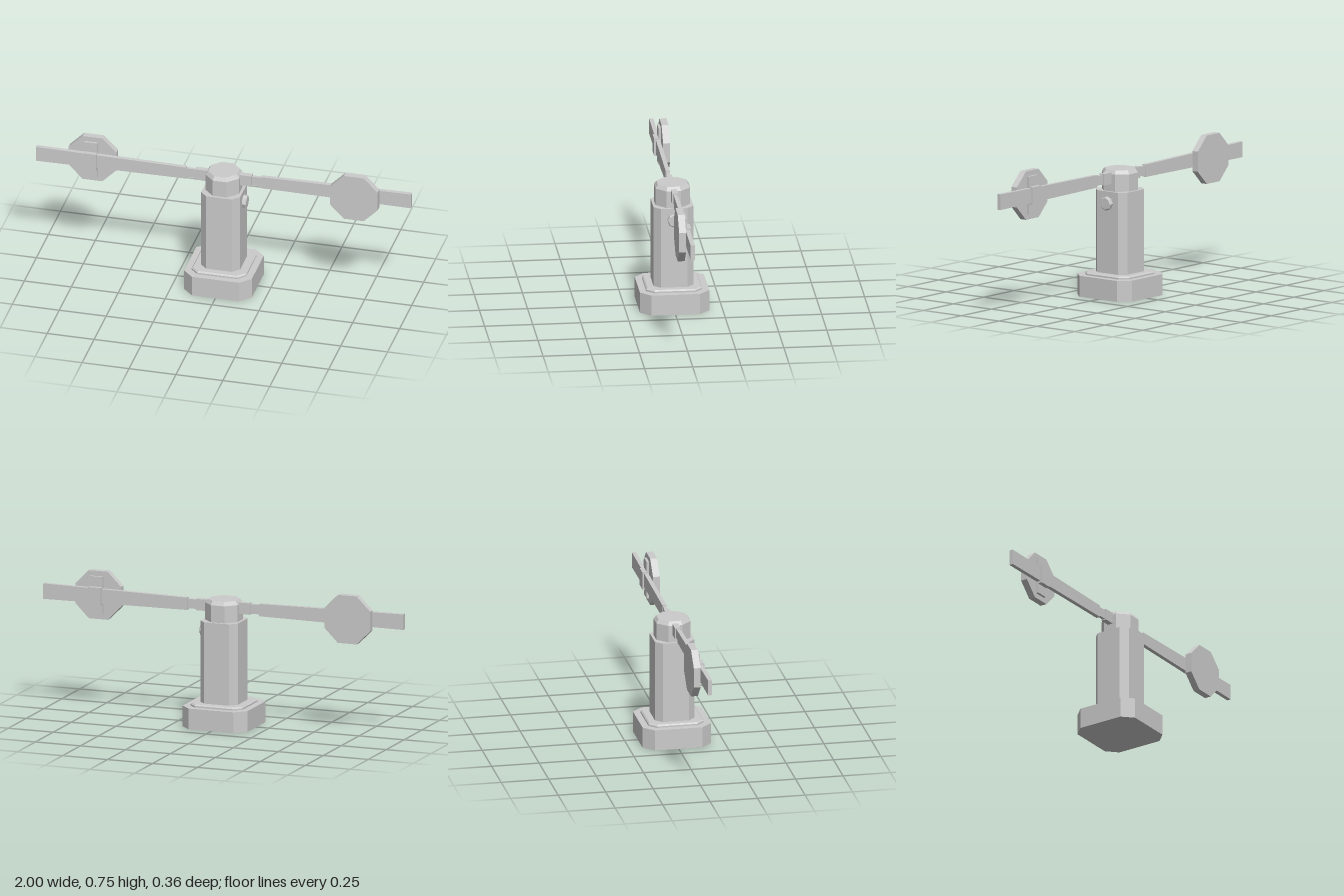
import * as THREE from 'three';

const mat = new THREE.MeshStandardMaterial({ color: 0xcccccc, flatShading: true });

function add(parent, name, geo, x = 0, y = 0, z = 0) {
  const m = new THREE.Mesh(geo, mat);
  m.name = name;
  m.position.set(x, y, z);
  parent.add(m);
  return m;
}

// Square block with cut corners, standing on y = 0, optional top bevel
function cutBlock(half, cut, height, bevel = 0) {
  const h = half - bevel, c = h - cut;
  const shape = new THREE.Shape([
    [h, -c], [h, c], [c, h], [-c, h], [-h, c], [-h, -c], [-c, -h], [c, -h],
  ].map(([x, y]) => new THREE.Vector2(x, y)));
  const geo = new THREE.ExtrudeGeometry(shape, {
    depth: height - bevel, bevelEnabled: bevel > 0,
    bevelSize: bevel, bevelThickness: bevel, bevelSegments: 1,
  });
  return geo.rotateX(-Math.PI / 2);
}

// Octagonal prism with flat sides on the axes
function octagon(rTop, rBottom, height) {
  const k = 1 / Math.cos(Math.PI / 8);
  return new THREE.CylinderGeometry(rTop * k, rBottom * k, height, 8).rotateY(Math.PI / 8);
}

// Flat bar along x whose height and centre change linearly from one end to the other
function taperedBar(x0, x1, bottom0, top0, bottom1, top1, depth) {
  const shape = new THREE.Shape();
  shape.moveTo(x0, bottom0).lineTo(x1, bottom1).lineTo(x1, top1).lineTo(x0, top0);
  return new THREE.ExtrudeGeometry(shape, { depth, bevelEnabled: false }).translate(0, 0, -depth / 2);
}

function makeArm() {
  const arm = new THREE.Group();
  arm.name = 'signalArm';
  add(arm, 'armSocket', new THREE.BoxGeometry(0.09, 0.06, 0.03), 0.105, 0.624, 0);
  add(arm, 'armNeck', new THREE.BoxGeometry(0.08, 0.05, 0.016), 0.18, 0.624, 0);
  add(arm, 'armBlade', taperedBar(0.2, 1, 0.59, 0.655, 0.583, 0.665, 0.022));
  // Disc in front of the blade, held by a strap and a clip
  add(arm, 'signalDisc', octagon(0.127, 0.127, 0.036).rotateX(Math.PI / 2), 0.705, 0.622, 0.034);
  add(arm, 'discStrap', new THREE.BoxGeometry(0.07, 0.2, 0.014), 0.712, 0.622, 0.01);
  add(arm, 'discClip', new THREE.BoxGeometry(0.07, 0.094, 0.036), 0.712, 0.621, -0.002);
  return arm;
}

export function createModel() {
  const model = new THREE.Group();
  model.name = 'semaphore';

  // Stepped base and post
  add(model, 'base', cutBlock(0.18, 0.055, 0.11));
  add(model, 'baseStep', cutBlock(0.145, 0.035, 0.015, 0.007), 0, 0.11, 0);
  add(model, 'post', cutBlock(0.104, 0.035, 0.435), 0, 0.12, 0);

  // Octagonal cap with bevelled rim
  add(model, 'cap', octagon(0.09, 0.09, 0.09), 0, 0.6, 0);
  add(model, 'capBevel', octagon(0.077, 0.09, 0.02), 0, 0.655, 0);

  // Knob on the left face of the post
  const knob = new THREE.Group();
  knob.name = 'knob';
  knob.position.set(0.1, 0.493, 0);
  knob.rotation.z = -Math.PI / 2;
  add(knob, 'knobBody', new THREE.CylinderGeometry(0.036, 0.036, 0.02, 8), 0, 0.01, 0);
  add(knob, 'knobRim', new THREE.CylinderGeometry(0.031, 0.036, 0.005, 8), 0, 0.0225, 0);
  model.add(knob);

  // Two arms, each a half turn from the other
  for (const turn of [0, Math.PI]) {
    const arm = makeArm();
    arm.rotation.y = turn;
    model.add(arm);
  }
  return model;
}
